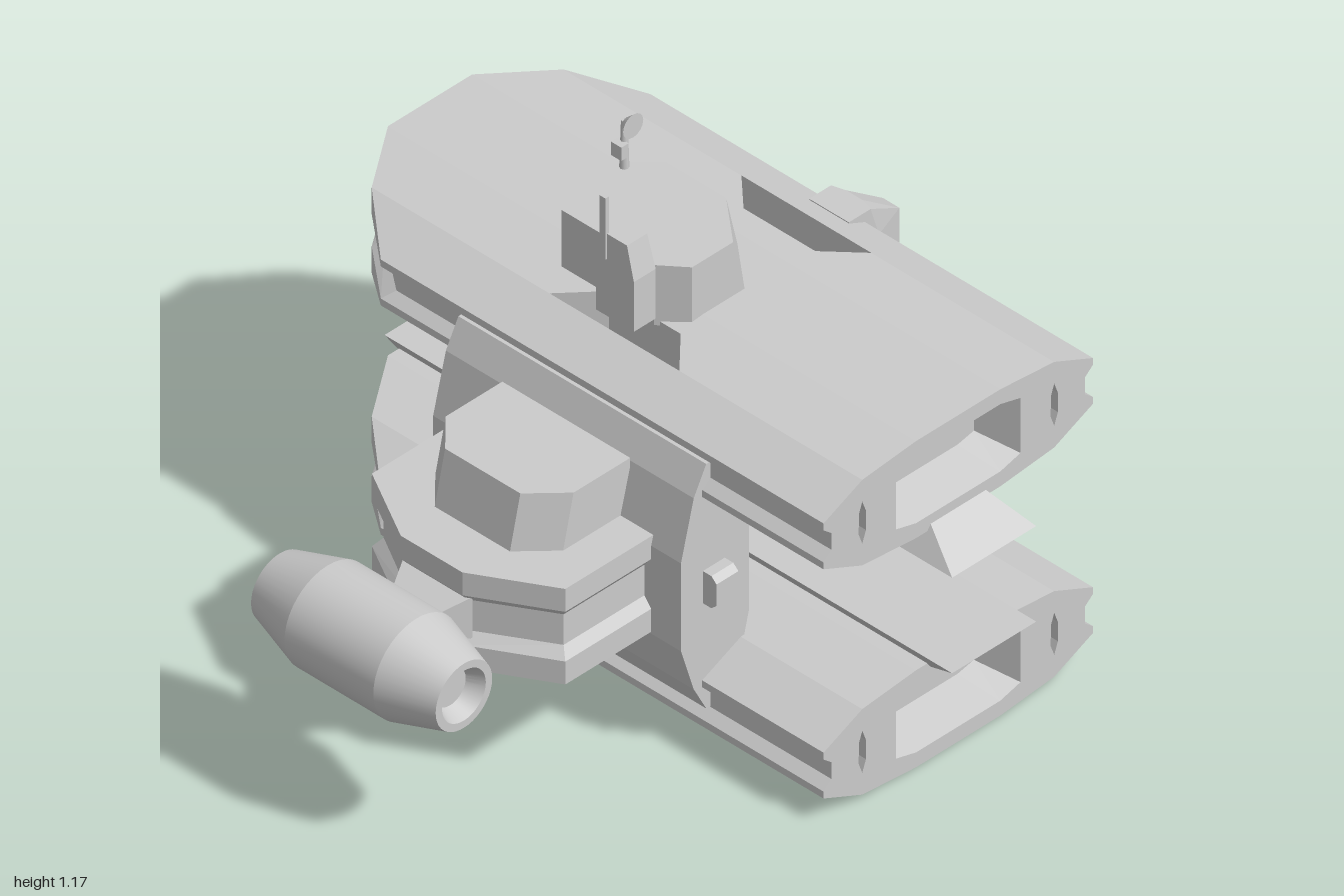
import * as THREE from 'three';
import { toCreasedNormals } from 'three/addons/utils/BufferGeometryUtils.js';

const grey = new THREE.MeshStandardMaterial({ color: 0xcccccc });
const V = (x, y, z) => new THREE.Vector3(x, y, z);

function add(parent, name, geo, x = 0, y = 0, z = 0) {
  const m = new THREE.Mesh(geo, grey);
  m.name = name;
  m.position.set(x, y, z);
  parent.add(m);
  return m;
}

// Flat-shaded geometry from a list of triangles
function fromTris(tris) {
  const g = new THREE.BufferGeometry().setFromPoints(tris.flat());
  g.computeVertexNormals();
  return g;
}

// Closed solid through rings of equal length, turned outward by its signed volume
function loft(rings) {
  const tris = [];
  const n = rings[0].length;
  for (let i = 0; i + 1 < rings.length; i++) {
    for (let j = 0; j < n; j++) {
      const k = (j + 1) % n, a = rings[i], b = rings[i + 1];
      tris.push([a[j], a[k], b[k]], [a[j], b[k], b[j]]);
    }
  }
  const last = rings[rings.length - 1];
  for (let j = 1; j + 1 < n; j++) {
    tris.push([rings[0][0], rings[0][j + 1], rings[0][j]], [last[0], last[j], last[j + 1]]);
  }
  const o = rings[0][0];
  let vol = 0;
  for (const [a, b, c] of tris) {
    vol += a.clone().sub(o).dot(b.clone().sub(o).cross(c.clone().sub(o)));
  }
  if (vol < 0) tris.forEach((t) => t.reverse());
  return fromTris(tris);
}

// Ring helpers: plan outline at a height, rectangle across x, rectangle across z
const plan = (pts, y) => pts.map(([x, z]) => V(x, y, z));
const rectX = (x, y0, y1, z0, z1) => [V(x, y0, z0), V(x, y1, z0), V(x, y1, z1), V(x, y0, z1)];

// Triangle or quad facing the direction dir
function face(tris, pts, dir) {
  for (let i = 1; i + 1 < pts.length; i++) {
    const [a, b, c] = [pts[0], pts[i], pts[i + 1]];
    const n = b.clone().sub(a).cross(c.clone().sub(a));
    tris.push(n.dot(dir) < 0 ? [a, c, b] : [a, b, c]);
  }
}

// Hull crown height at distance x from its centre line
const KNOTS = [[0, 0.127], [0.125, 0.127], [0.285, 0.112], [0.4, 0.06]];
function crown(x) {
  const d = Math.abs(x);
  for (let i = 1; i < KNOTS.length; i++) {
    const [x0, y0] = KNOTS[i - 1], [x1, y1] = KNOTS[i];
    if (d <= x1) return y0 + ((y1 - y0) * (d - x0)) / (x1 - x0);
  }
  return 0.06;
}

const FRONT = 0.725;

function hullGeometry() {
  const tris = [];
  // top and bottom strips; the middle side strips have a notch for the vertical slot
  const slot = [[0.285, 0.19], [0.2, 0.11], [0.2, -0.1], [0.285, -0.19]];
  const centre = [[-0.125, FRONT], [0.125, FRONT], [0.125, -0.82], [-0.125, -0.82]];
  const inner = [[0.125, FRONT], [0.285, FRONT], ...slot, [0.285, -0.71], [0.125, -0.82]];
  const outer = [[0.285, FRONT], [0.4, FRONT], [0.4, -0.57], [0.285, -0.71]];
  const flip = (p) => p.map(([x, z]) => [-x, z]);
  for (const strip of [centre, inner, outer, flip(inner), flip(outer)]) {
    const idx = THREE.ShapeUtils.triangulateShape(strip.map((p) => new THREE.Vector2(...p)), []);
    for (const t of idx) {
      for (const s of [1, -1]) {
        face(tris, t.map((i) => V(strip[i][0], s * crown(strip[i][0]), strip[i][1])), V(0, s, 0));
      }
    }
  }
  // slot walls
  for (const s of [1, -1]) {
    slot.forEach(([x0, z0], i) => {
      const [x1, z1] = slot[(i + 1) % 4], a = crown(x0), b = crown(x1);
      const dir = V(s * (0.25 - (x0 + x1) / 2), 0, -(z0 + z1) / 2);
      face(tris, [V(s * x0, a, z0), V(s * x1, b, z1), V(s * x1, -b, z1), V(s * x0, -a, z0)], dir);
    });
  }
  // outer wall with its running groove
  const half = [[0.4, FRONT], [0.4, -0.57], [0.285, -0.71], [0.125, -0.82]];
  const path = [...half, ...flip(half).reverse()];
  const wallPoint = ([x, z], [y, inset]) =>
    V(x * (inset ? 0.94 : 1), y ?? crown(x), inset && z < FRONT ? z + 0.022 : z);
  const levels = [[null, 0], [0.042, 0], [0.022, 1], [-0.022, 1], [-0.042, 0]];
  for (let i = 0; i + 1 < path.length; i++) {
    const [p, q] = [path[i], path[i + 1]];
    const dir = V(p[1] - q[1], 0, q[0] - p[0]);
    for (let j = 0; j < 5; j++) {
      const next = (pt) => (j < 4 ? wallPoint(pt, levels[j + 1]) : V(pt[0], -crown(pt[0]), pt[1]));
      face(tris, [wallPoint(p, levels[j]), wallPoint(q, levels[j]), next(q), next(p)], dir);
    }
  }
  return fromTris(tris);
}

// Front plate with a central bay and two slits, each sunk into the hull
function addFront(deck) {
  const right = [[0.125, 0.127], [0.285, 0.112], [0.4, 0.06], [0.4, 0.042], [0.376, 0.022]];
  const r = [...right, ...right.map(([x, y]) => [x, -y]).reverse()];
  const shape = new THREE.Shape([...r, ...r.map(([x, y]) => [-x, y]).reverse()]
    .map((p) => new THREE.Vector2(...p)));
  const bay = [[0.185, 0.072], [0.125, 0.088], [-0.125, 0.088], [-0.185, 0.072],
    [-0.185, -0.072], [-0.125, -0.088], [0.125, -0.088], [0.185, -0.072]];
  const slit = [[0, 0.055], [-0.011, 0.025], [-0.011, -0.025], [0, -0.055], [0.011, -0.025], [0.011, 0.025]];
  const tris = [];
  const sink = (pts, cx, sx, sy, depth) => {
    shape.holes.push(new THREE.Path(pts.map(([x, y]) => new THREE.Vector2(cx + x, y))));
    const rim = pts.map(([x, y]) => V(cx + x, y, FRONT));
    const floor = pts.map(([x, y]) => V(cx + x * sx, y * sy, FRONT - depth));
    pts.forEach(([x, y], i) => {
      const k = (i + 1) % pts.length;
      face(tris, [rim[i], rim[k], floor[k], floor[i]], V(-x - pts[k][0], -y - pts[k][1], 0));
    });
    face(tris, floor, V(0, 0, 1));
  };
  sink(bay, 0, 0.8, 0.65, 0.1);
  for (const s of [1, -1]) sink(slit, s * 0.285, 1, 1, 0.02);
  add(deck, 'frontPlate', new THREE.ShapeGeometry(shape), 0, 0, FRONT);
  add(deck, 'frontRecesses', fromTris(tris));
}

// One hull with its keel and side rails; s = 1 hangs them below, -1 stands them on top
function makeDeck(name, y, s) {
  const deck = new THREE.Group();
  deck.name = name;
  deck.position.set(0.138, y, 0);
  add(deck, 'hull', hullGeometry());
  addFront(deck);
  const bar = (cx, y0, y1, w0, w1, f0, f1, back) => loft([
    [V(cx - w0, s * y0, f0), V(cx + w0, s * y0, f0), V(cx + w1, s * y1, f1), V(cx - w1, s * y1, f1)],
    [V(cx - w0, s * y0, back), V(cx + w0, s * y0, back), V(cx + w1, s * y1, back), V(cx - w1, s * y1, back)],
  ]);
  add(deck, 'keel', bar(0, -0.175, -0.11, 0.125, 0.08, 0.83, 0.72, -0.83));
  for (const side of [1, -1]) {
    add(deck, 'sideRail', bar(side * 0.362, -0.155, -0.07, 0.085, 0.055, 0.37, 0.37, -0.355));
  }
  return deck;
}

function makeEngine(x, y, z) {
  const end = [[0.127, 0.13], [0.084, 0.27], [0.065, 0.27], [0.046, 0.23], [0, 0.23]];
  const profile = [...end.map(([r, h]) => [r, -h]).reverse(), ...end];
  const geo = new THREE.LatheGeometry(profile.map((p) => new THREE.Vector2(...p)), 40);
  geo.rotateX(Math.PI / 2);
  const m = new THREE.Mesh(toCreasedNormals(geo, 0.2), grey);
  m.name = 'engine';
  m.position.set(x, y, z);
  return m;
}

export function createModel() {
  const g = new THREE.Group();
  g.name = 'spaceship';
  g.add(makeDeck('upperDeck', 0.73, 1), makeDeck('lowerDeck', 0.13, -1));

  // right connecting block between the decks
  const block = [[-0.25, 0.75], [-0.287, 0.68], [-0.325, 0.53], [-0.325, 0.3], [-0.287, 0.18], [-0.25, 0.11],
    [-0.17, 0.11], [-0.15, 0.19], [-0.123, 0.3], [-0.123, 0.55], [-0.15, 0.67], [-0.17, 0.75]];
  add(g, 'connectingBlock', loft([0.37, -0.355].map((z) => block.map(([x, y]) => V(x, y, z)))));
  const knob = (z, h) => [V(-0.26, 0.433 - h, z), V(-0.195, 0.433 - h, z), V(-0.195, 0.433 + h, z), V(-0.26, 0.433 + h, z)];
  add(g, 'frontKnob', loft([knob(0.36, 0.042), knob(0.395, 0.042), knob(0.41, 0.028)]));

  // right cabin with grooved wall and raised top
  const oct = [[-0.28, -0.283], [-0.58, -0.283], [-0.69, -0.09], [-0.69, 0.09], [-0.58, 0.283], [-0.28, 0.283]];
  const inset = oct.map(([x, z]) => [-0.28 + (x + 0.28) * 0.95, z * 0.93]);
  const cabin = [[0.305, 0], [0.365, 0], [0.39, 1], [0.47, 1], [0.495, 0], [0.555, 0]];
  add(g, 'cabin', loft(cabin.map(([y, i]) => plan(i ? inset : oct, y))));
  const roof = [[-0.29, -0.187], [-0.49, -0.187], [-0.57, -0.11], [-0.57, 0.11], [-0.49, 0.187], [-0.29, 0.187]];
  add(g, 'cabinRoof', loft([plan(roof, 0.55), plan(roof.map(([x, z]) => [x < -0.3 ? x + 0.032 : x, z]), 0.69)]));

  // engines and their struts
  g.add(makeEngine(-0.873, 0.43, 0.005), makeEngine(0.873, 0.13, -0.38));
  add(g, 'rightStrut', loft([rectX(-0.67, 0.375, 0.485, -0.1, 0.1),
    rectX(-0.75, 0.41, 0.455, -0.06, 0.06), rectX(-0.8, 0.41, 0.455, -0.06, 0.06)]));
  add(g, 'leftStrut', loft([rectX(0.48, 0.055, 0.225, -0.61, -0.165), rectX(0.54, 0.06, 0.215, -0.595, -0.18),
    rectX(0.64, 0.085, 0.16, -0.555, -0.2), rectX(0.8, 0.09, 0.14, -0.5, -0.215)]));

  // left pillar joining the decks, narrowing outward
  const pillar = [[0.06, 0.5, 0.55, 0.545], [0.15, 0.52, 0.57, 0.65], [0.44, 0.535, 0.6, 0.65],
    [0.5, 0.535, 0.6, 0.675], [0.735, 0.52, 0.58, 0.675], [0.815, 0.49, 0.555, 0.565]];
  add(g, 'pillar', loft(pillar.map(([y, a, b, c]) =>
    plan([[a, -0.058], [b, -0.058], [c, -0.024], [c, 0.024], [b, 0.058], [a, 0.058]], y))));

  // bridge on the upper deck
  const base = [[-0.07, -0.23], [-0.02, -0.278], [0.15, -0.278], [0.238, -0.19],
    [0.238, -0.015], [0.14, 0.102], [-0.02, 0.102], [-0.07, 0.04]];
  const top = base.map(([x, z]) => [x > 0.1 ? x - 0.038 : x, z]);
  add(g, 'bridge', loft([plan(base, 0.84), plan(top, 0.997)]));

  // sensor tower with mast
  const box = (x0, x1, z0, z1) => [[x0, z0], [x1, z0], [x1, z1], [x0, z1]];
  add(g, 'tower', loft([plan(box(-0.135, -0.07, -0.065, 0.045), 0.86),
    plan(box(-0.135, -0.07, -0.065, 0.045), 0.99), plan(box(-0.135, -0.075, -0.055, 0.025), 1.075)]));
  add(g, 'towerStep', loft([plan(box(-0.08, -0.04, -0.09, -0.02), 0.85),
    plan(box(-0.08, -0.04, -0.09, -0.02), 0.997), plan(box(-0.08, -0.04, -0.06, -0.025), 1.025)]));
  add(g, 'mast', new THREE.BoxGeometry(0.01, 0.16, 0.018), -0.135, 1.09, -0.042);

  // dish antenna
  add(g, 'antennaStem', new THREE.CylinderGeometry(0.007, 0.011, 0.13, 8), 0.128, 1.055, -0.242);
  add(g, 'antennaBox', new THREE.BoxGeometry(0.022, 0.035, 0.03), 0.115, 1.05, -0.242);
  const dish = new THREE.CylinderGeometry(0.03, 0.012, 0.02, 16).rotateX(Math.PI / 2);
  add(g, 'antennaDish', toCreasedNormals(dish, 0.6), 0.13, 1.115, -0.228);
  return g;
}
